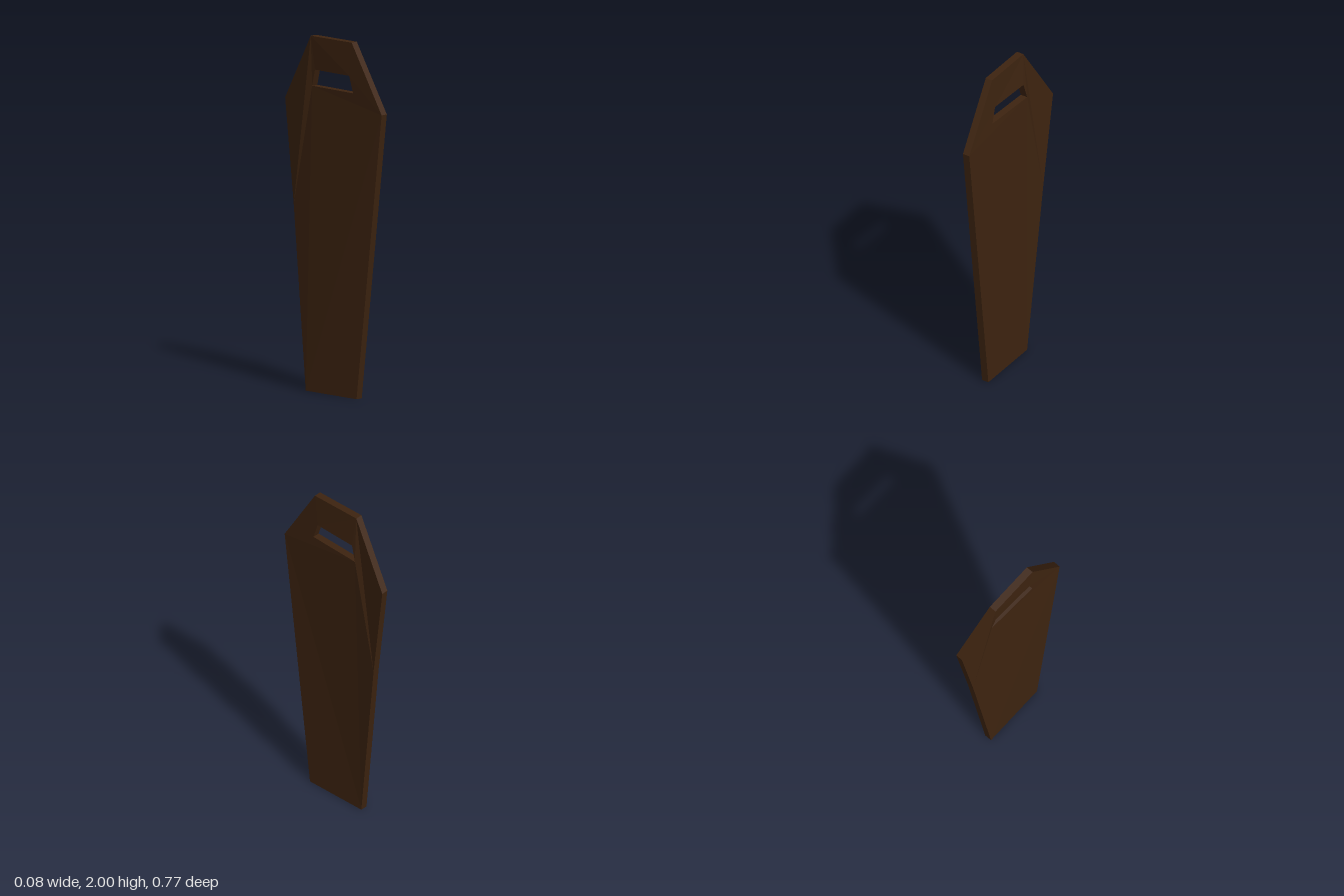
import * as THREE from 'three';

// Each corner: [z, y, sideways warp]
const OUTLINE = [
  [0.195, 0, 0], [-0.19, 0, 0], [-0.307, 1.03, 0.028], [-0.385, 1.62, 0.042],
  [-0.152, 2, 0], [0.158, 2, 0], [0.385, 1.62, 0],
];
const HANDLE = [
  [0.163, 1.715, 0.006], [0.135, 1.81, 0.004], [-0.133, 1.81, 0.014], [-0.16, 1.715, 0.02],
];
const THICKNESS = 0.042;

// Shape x runs along -z so the plank can be turned to face sideways
const toPoints = (corners) => corners.map(([z, y]) => new THREE.Vector2(-z, y));

export function createModel() {
  const wood = new THREE.MeshStandardMaterial({ color: 0x3e2410 });
  wood.name = 'dark brown wood';

  // Tapered six-sided board with a handle slot
  const shape = new THREE.Shape(toPoints(OUTLINE));
  shape.holes.push(new THREE.Path(toPoints(HANDLE)));
  const geometry = new THREE.ExtrudeGeometry(shape, { depth: THICKNESS, bevelEnabled: false });
  geometry.rotateY(Math.PI / 2);
  geometry.translate(-THICKNESS, 0, 0);

  // Warp the board: push one shoulder out sideways
  const corners = [...OUTLINE, ...HANDLE];
  const position = geometry.attributes.position;
  for (let i = 0; i < position.count; i++) {
    const corner = corners.find(([z, y]) =>
      Math.hypot(z - position.getZ(i), y - position.getY(i)) < 0.001);
    if (corner) position.setX(i, position.getX(i) + corner[2]);
  }
  geometry.computeVertexNormals();

  const board = new THREE.Mesh(geometry, wood);
  board.name = 'board';
  const model = new THREE.Group();
  model.name = 'taperedBoard';
  model.add(board);
  return model;
}
